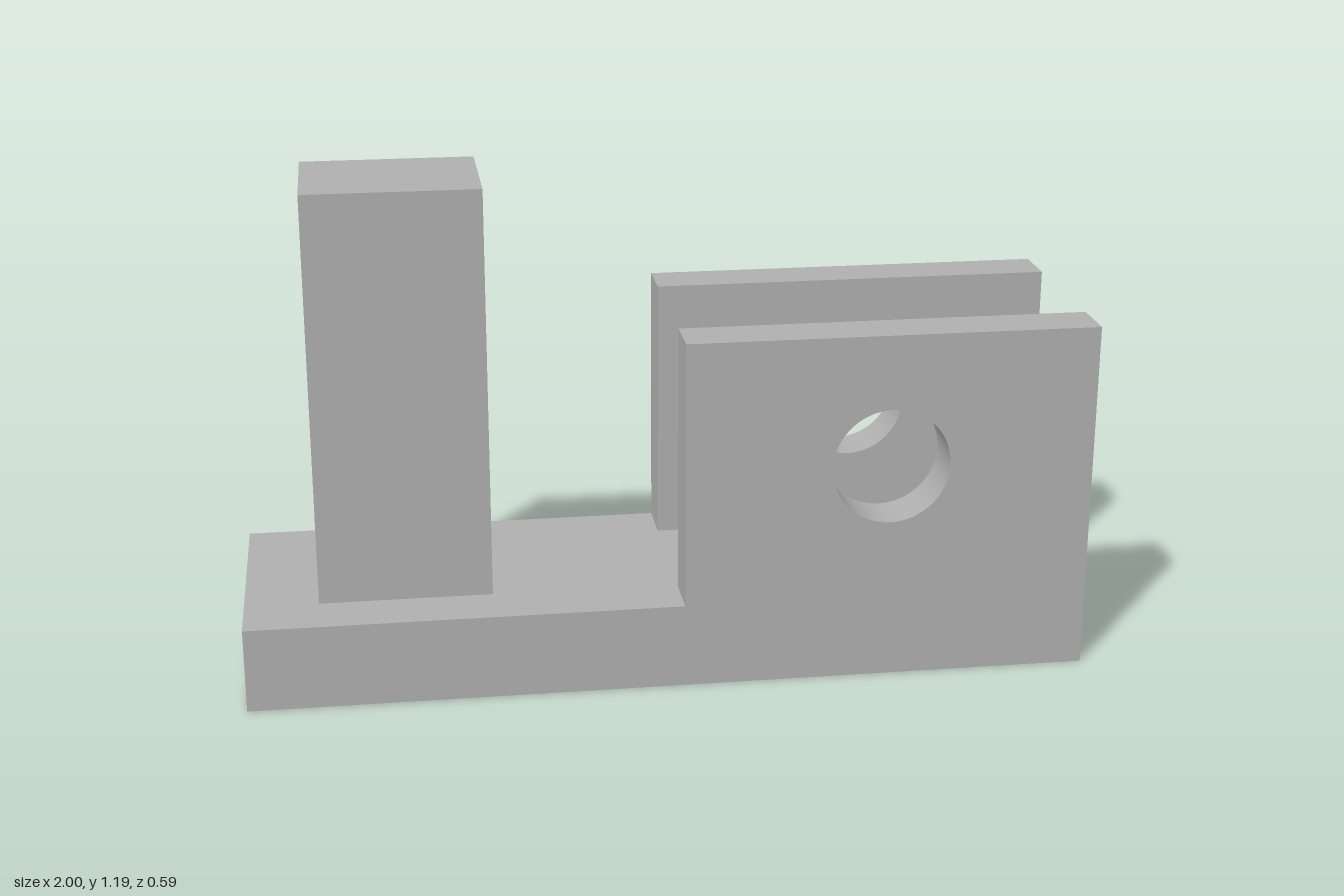
import * as THREE from 'three';

const grey = new THREE.MeshStandardMaterial({ color: 0xb0b0b0 });
grey.name = 'grey';

const BASE_TOP = 0.204;
const HALF_DEPTH = 0.297;

// Box given by its extents on each axis
function block(name, [x0, x1], [y0, y1], [z0, z1]) {
  const mesh = new THREE.Mesh(new THREE.BoxGeometry(x1 - x0, y1 - y0, z1 - z0), grey);
  mesh.position.set((x0 + x1) / 2, (y0 + y1) / 2, (z0 + z1) / 2);
  mesh.name = name;
  return mesh;
}

// Upright plate with a round pin hole
function cheekGeometry(thickness) {
  const shape = new THREE.Shape();
  shape.moveTo(0.028, BASE_TOP);
  shape.lineTo(1, BASE_TOP);
  shape.lineTo(1, 0.85);
  shape.lineTo(0.028, 0.85);
  shape.closePath();
  const hole = new THREE.Path();
  hole.absarc(0.514, 0.53, 0.14, 0, Math.PI * 2, true);
  shape.holes.push(hole);
  return new THREE.ExtrudeGeometry(shape, { depth: thickness, bevelEnabled: false, curveSegments: 48 });
}

export function createModel() {
  const model = new THREE.Group();
  model.name = 'clevisBracket';

  // Base slab and solid post
  model.add(block('base', [-1, 1], [0, BASE_TOP], [-HALF_DEPTH, HALF_DEPTH]));
  model.add(block('post', [-0.825, -0.415], [BASE_TOP, 1.192], [-0.164, 0.164]));

  // Pair of cheeks, flush with the front and back of the base
  const thickness = 0.122;
  const geometry = cheekGeometry(thickness);
  for (const [name, z] of [['frontCheek', HALF_DEPTH - thickness], ['backCheek', -HALF_DEPTH]]) {
    const cheek = new THREE.Mesh(geometry, grey);
    cheek.position.z = z;
    cheek.name = name;
    model.add(cheek);
  }
  return model;
}
